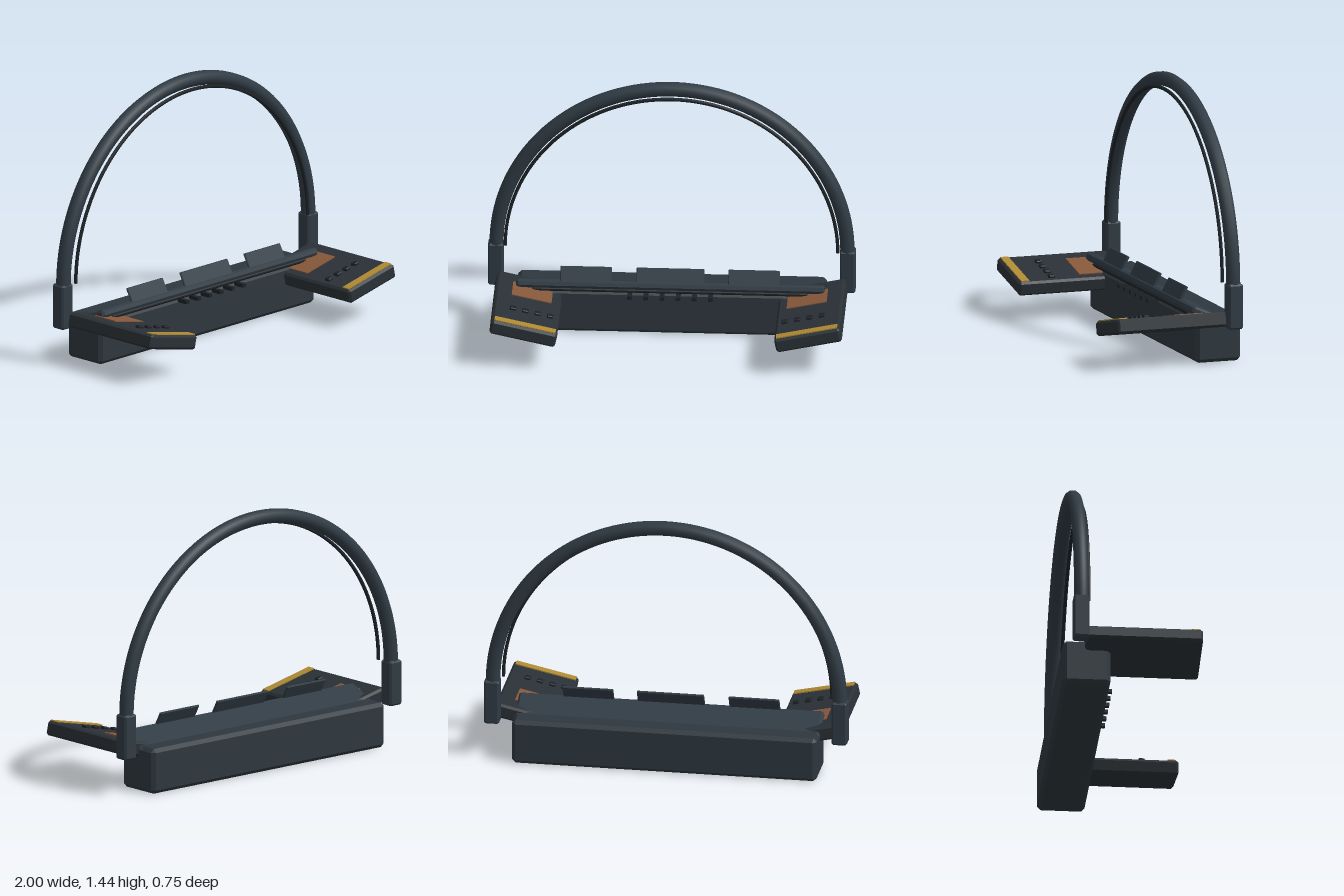
import * as THREE from 'three';
import { ConvexGeometry } from 'three/addons/geometries/ConvexGeometry.js';

const paint = (name, color) => {
  const m = new THREE.MeshStandardMaterial({ color });
  m.name = name;
  return m;
};

// Box with a single flat chamfer on every edge
function chamferBox(w, h, d, c) {
  const pts = [];
  for (const sx of [-1, 1]) for (const sy of [-1, 1]) for (const sz of [-1, 1]) {
    const x = w / 2, y = h / 2, z = d / 2;
    pts.push(
      new THREE.Vector3(sx * x, sy * (y - c), sz * (z - c)),
      new THREE.Vector3(sx * (x - c), sy * y, sz * (z - c)),
      new THREE.Vector3(sx * (x - c), sy * (y - c), sz * z));
  }
  return new ConvexGeometry(pts);
}

// Semicircular arch in the XY plane
class Arch extends THREE.Curve {
  constructor(radius) { super(); this.radius = radius; }
  getPoint(t, target = new THREE.Vector3()) {
    const a = Math.PI * t;
    return target.set(Math.cos(a) * this.radius, Math.sin(a) * this.radius, 0);
  }
}

export function createModel() {
  const model = new THREE.Group();
  model.name = 'console';
  const body = paint('blue grey', 0x2e373e);
  const trim = paint('slate', 0x303b44);
  const deck = paint('charcoal', 0x2a3136);
  const dark = paint('near black', 0x1c2226);
  const copper = paint('copper', 0x86583a);
  const gold = paint('gold', 0xaf8a33);

  const add = (parent, name, geo, mat, x, y, z) => {
    const m = new THREE.Mesh(geo, mat);
    m.name = name;
    m.position.set(x, y, z);
    parent.add(m);
    return m;
  };

  // Base and tilted control panel
  add(model, 'base', chamferBox(1.68, 0.25, 0.26, 0.02), body, 0, 0.125, -0.25);
  const panel = add(model, 'panel', chamferBox(1.68, 0.045, 0.2, 0.012), trim, 0, 0.257, -0.192);
  panel.rotation.x = -0.42;
  add(model, 'panelSlot', chamferBox(1.5, 0.02, 0.03, 0.006), dark, 0, 0.26, -0.12);

  // Raised flaps leaning back from the panel's front edge
  for (const [x, w] of [[-0.46, 0.28], [0, 0.37], [0.455, 0.28]]) {
    const flap = add(model, 'flap', chamferBox(w, 0.1, 0.014, 0.004), trim, x, 0.336, -0.134);
    flap.rotation.x = -0.5;
  }

  // Row of pegs under the panel
  for (let i = 0; i < 6; i++) {
    add(model, 'peg', new THREE.BoxGeometry(0.025, 0.02, 0.065), dark, -0.22 + i * 0.088, 0.24, -0.093);
  }

  // Carrying arch with a thin inner rail
  add(model, 'arch', new THREE.TubeGeometry(new Arch(0.955), 72, 0.04, 10), trim, 0, 0.445, -0.29);
  add(model, 'archRail', new THREE.TubeGeometry(new Arch(0.905), 72, 0.01, 6), dark, 0, 0.455, -0.245);

  for (const s of [-1, 1]) {
    add(model, 'archSocket', chamferBox(0.085, 0.25, 0.085, 0.01), trim, s * 0.9575, 0.33, -0.2925);

    // Side wing, sloping down toward the middle
    const wing = new THREE.Group();
    wing.name = s > 0 ? 'leftWing' : 'rightWing';
    wing.position.set(s * 0.775, 0.22, 0);
    wing.rotation.z = s * 0.215;
    model.add(wing);
    add(wing, 'wingDeck', chamferBox(0.365, 0.08, 0.635, 0.012), deck, 0, 0, 0.0575);
    add(wing, 'copperPad', new THREE.BoxGeometry(0.222, 0.006, 0.16), copper, -s * 0.018, 0.042, -0.07);
    add(wing, 'goldStrip', new THREE.BoxGeometry(0.34, 0.008, 0.046), gold, 0, 0.042, 0.338);
    for (let i = 0; i < 4; i++) {
      add(wing, 'button', chamferBox(0.034, 0.018, 0.034, 0.004), dark,
        s * (-0.13 + i * 0.069), 0.045, 0.175);
    }
  }
  return model;
}
